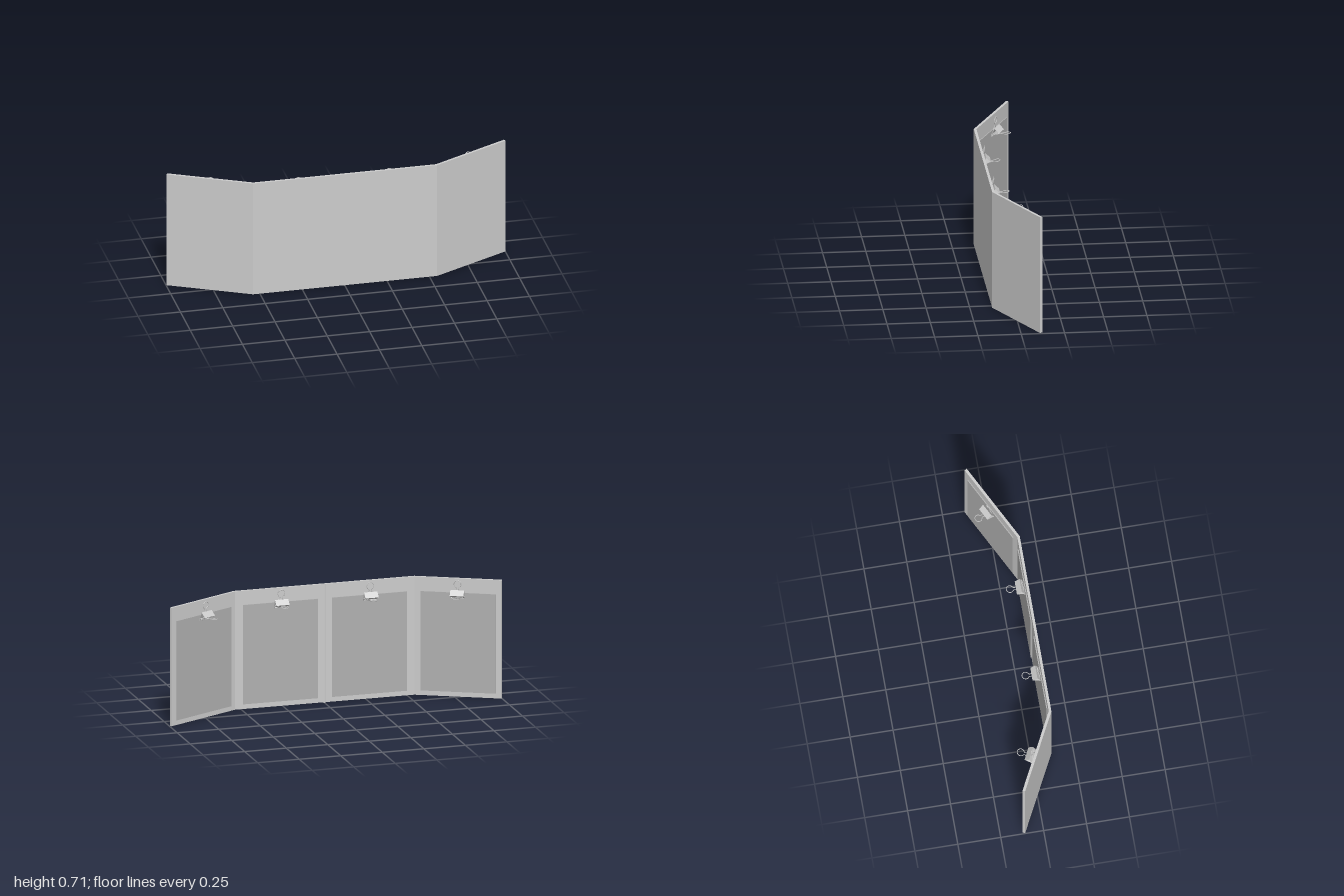
import * as THREE from 'three';

const grey = new THREE.MeshStandardMaterial({ color: 0xcccccc, side: THREE.DoubleSide });
const paperGrey = new THREE.MeshStandardMaterial({ color: 0xb0b0b0 });

const BOTTOM = 0.004, TOP = 0.709;

function add(parent, name, geometry, material = grey) {
  const mesh = new THREE.Mesh(geometry, material);
  mesh.name = name;
  parent.add(mesh);
  return mesh;
}

// upright board from a plan outline of [x, z] corners
function boardGeometry(plan) {
  const shape = new THREE.Shape(plan.map(([x, z]) => new THREE.Vector2(x, -z)));
  const g = new THREE.ExtrudeGeometry(shape, { depth: TOP - BOTTOM, bevelEnabled: false });
  return g.rotateX(-Math.PI / 2).translate(0, BOTTOM, 0);
}

// wire handle: splayed feet, narrow neck, round loop; runs along +z
function handleGeometry() {
  const pts = [[0.024, 0.002], [0.018, 0.025], [0.008, 0.048], [0.007, 0.06]];
  const cz = 0.081, r = 0.021;
  for (let i = 0; i <= 8; i++) {
    const a = -1.1 + (i / 8) * (Math.PI + 2.2);
    pts.push([r * Math.cos(a), cz + r * Math.sin(a)]);
  }
  for (let i = 3; i >= 0; i--) pts.push([-pts[i][0], pts[i][1]]);
  const curve = new THREE.CatmullRomCurve3(pts.map(([x, z]) => new THREE.Vector3(x, 0, z)));
  return new THREE.TubeGeometry(curve, 64, 0.0022, 6);
}

// spring clip, jaws at the origin, opening up and outwards along +z
function createClip() {
  const clip = new THREE.Group();
  clip.name = 'clip';
  const L = 0.045, h = 0.02, W = 0.08;
  const toPoints = (list) => list.map(([x, y]) => new THREE.Vector2(x, y));
  const profile = new THREE.Shape(toPoints([[0, -0.003], [L, -h], [L, h], [0, 0.003]]));
  profile.holes.push(new THREE.Path(toPoints([[0.004, 0.002], [L - 0.003, h - 0.004], [L - 0.003, 0.004 - h], [0.004, -0.002]])));
  const body = new THREE.ExtrudeGeometry(profile, { depth: W, bevelEnabled: false });
  body.translate(0, 0, -W / 2).rotateY(-Math.PI / 2).rotateX(-Math.PI / 4);
  add(clip, 'clipBody', body);

  // rolled lips that hold the wire feet
  for (const s of [-1, 1]) {
    const lip = add(clip, 'clipLip', new THREE.CylinderGeometry(0.0035, 0.0035, W, 10).rotateZ(Math.PI / 2));
    lip.position.set(0, s * 0.004, 0.002);
  }
  // one handle lies outwards, the other stands up
  for (const [name, degrees] of [['outerHandle', 8], ['upperHandle', 83]]) {
    add(clip, name, handleGeometry()).rotation.x = -THREE.MathUtils.degToRad(degrees);
  }
  return clip;
}

// sheet and clip fixed on the back of one panel; local +z points away from it
function createSheetSet(x, z, angle, width) {
  const set = new THREE.Group();
  set.name = 'sheetAndClip';
  set.position.set(x, 0, z);
  set.rotation.y = angle;
  const y0 = 0.033, y1 = 0.625;
  add(set, 'sheet', new THREE.BoxGeometry(width, y1 - y0, 0.006), paperGrey).position.set(0, (y0 + y1) / 2, 0.003);
  const clip = createClip();
  clip.position.set(0, 0.6, 0.009);
  set.add(clip);
  return set;
}

export function createModel() {
  const model = new THREE.Group();
  model.name = 'foldingDisplayBoard';
  const wingAngle = Math.atan2(0.23, 0.454);

  for (const s of [-1, 1]) {
    // inner panel and angled wing, mitred where they meet
    const inner = [[0, 0.123], [0.543, 0.123], [0.539, 0.108], [0.002, 0.108]];
    const wing = [[0.543, 0.123], [1, -0.108], [0.993, -0.122], [0.539, 0.108]];
    for (const [name, plan] of [['innerPanel', inner], ['wingPanel', wing]]) {
      add(model, name, boardGeometry(plan.map(([x, z]) => [s * x, z])));
    }
    model.add(createSheetSet(s * 0.268, 0.108, Math.PI, 0.45));
    model.add(createSheetSet(s * 0.766, -0.007, Math.PI + s * wingAngle, 0.435));
  }

  // hinge along the middle fold
  add(model, 'hinge', new THREE.CylinderGeometry(0.006, 0.006, TOP, 12)).position.set(0, TOP / 2, 0.113);
  return model;
}
